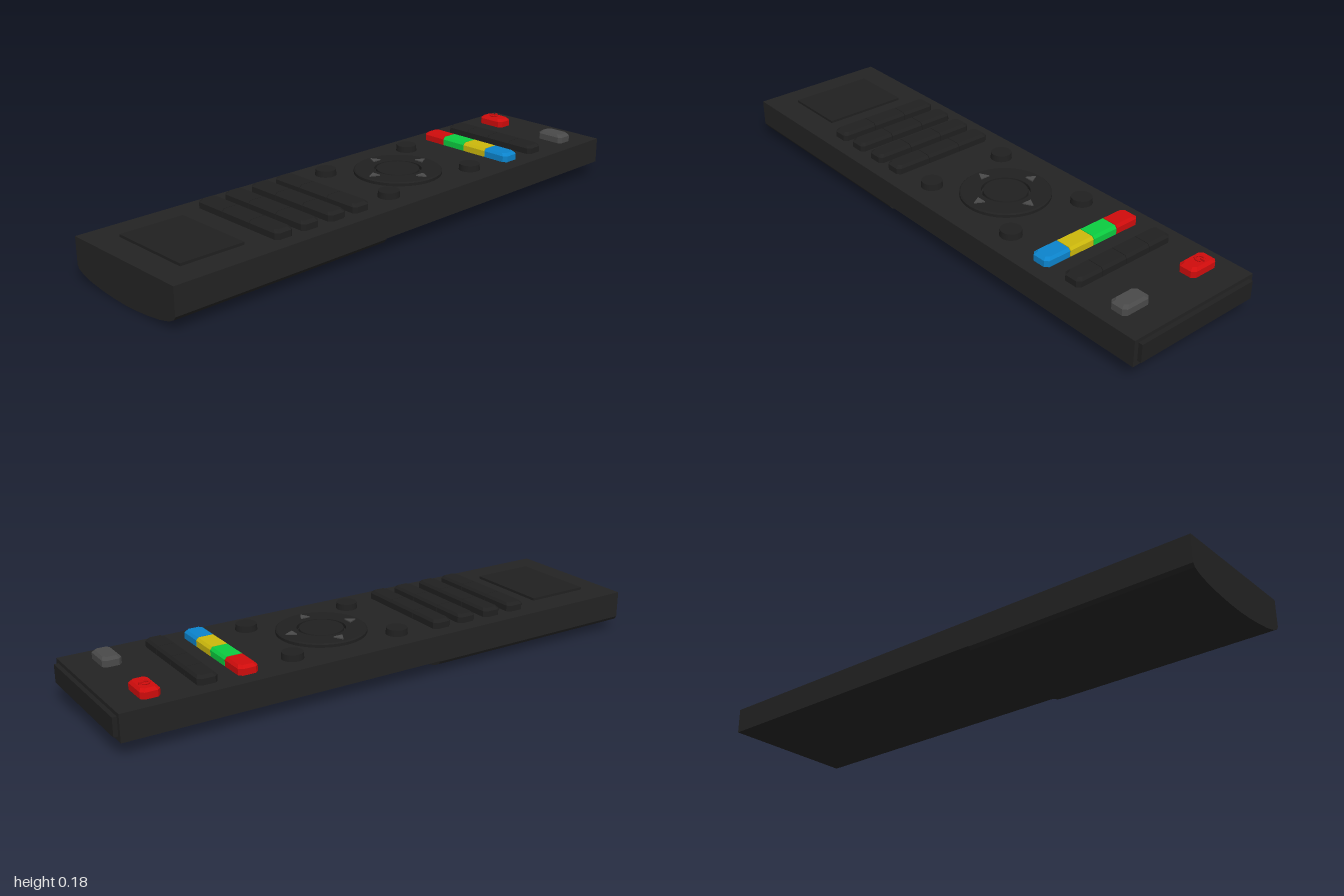
import * as THREE from 'three';

const mat = (name, color) => {
  const m = new THREE.MeshStandardMaterial({ color });
  m.name = name;
  return m;
};

const TOP = 0.145; // height of the keypad face

export function createModel() {
  const root = new THREE.Group();
  const body = mat('body black', 0x232323);
  const key = mat('key black', 0x202020);
  const grey = mat('grey', 0x4a4a4a);
  const red = mat('red', 0xd00c0c);
  const green = mat('green', 0x0ccc40);
  const yellow = mat('yellow', 0xccb80c);
  const blue = mat('blue', 0x0c84cc);

  const add = (name, geo, material, x = 0, y = 0, z = 0, parent = root) => {
    const m = new THREE.Mesh(geo, material);
    m.name = name;
    m.position.set(x, y, z);
    parent.add(m);
    return m;
  };

  // Main case: thin slab at the back, round-bellied grip at the front
  const zStep = 0.17;
  add('upperCase', new THREE.BoxGeometry(0.516, TOP - 0.052, zStep + 0.985), body,
    0, (TOP + 0.052) / 2, (zStep - 0.985) / 2);
  const half = [[0.258, 0.05], [0.25, 0.038], [0.225, 0.026], [0.18, 0.015], [0.12, 0.007], [0.06, 0.002]];
  const section = new THREE.Shape([
    [-0.258, TOP], ...half.map(([x, y]) => [-x, y]), [0, 0], ...half.slice().reverse(), [0.258, TOP],
  ].map(([x, y]) => new THREE.Vector2(x, y)));
  add('batteryGrip', new THREE.ExtrudeGeometry(section, { depth: 1 - zStep, bevelEnabled: false }), body, 0, 0, zStep);
  add('signalWindow', new THREE.BoxGeometry(0.484, 0.064, 0.03), key, 0, 0.1, -0.985);

  // Key with a sloped top edge; its outer ends are also chamfered
  const keyGeo = (x0, x1, depth, height, endL, endR) => {
    const d = depth / 2, c = 0.012, l = endL ? c : 0, r = endR ? c : 0;
    const pts = [[x0 + l, -d], [x1 - r, -d]];
    if (endR) pts.push([x1, -d + c], [x1, d - c]);
    pts.push([x1 - r, d], [x0 + l, d]);
    if (endL) pts.push([x0, d - c], [x0, -d + c]);
    const shape = new THREE.Shape(pts.map(([x, y]) => new THREE.Vector2(x, y)));
    const geo = new THREE.ExtrudeGeometry(shape, { depth: 1, steps: 2, bevelEnabled: false });
    geo.rotateX(-Math.PI / 2);
    const p = geo.attributes.position, mid = (x0 + x1) / 2;
    for (let i = 0; i < p.count; i++) {
      const level = p.getY(i);
      p.setY(i, level > 0.9 ? height : level > 0.4 ? height - 0.009 : 0);
      if (level > 0.9) {
        p.setZ(i, p.getZ(i) * (1 - 0.008 / d));
        const x = p.getX(i);
        if (x > mid && endR) p.setX(i, x - 0.011);
        if (x < mid && endL) p.setX(i, x + 0.011);
      }
    }
    geo.computeVertexNormals();
    return geo;
  };

  const keyRow = (name, z, colours, height) => {
    const row = new THREE.Group();
    row.name = name;
    root.add(row);
    const n = colours.length, w = 0.408 / n, gap = 0.0012;
    colours.forEach((c, i) => add(name + 'Key' + (i + 1),
      keyGeo(-0.204 + i * w + gap, -0.204 + (i + 1) * w - gap, 0.07, height, i === 0, i === n - 1),
      c, 0, TOP, z, row));
  };
  [0.222, 0.328, 0.44, 0.547].forEach((z, i) => keyRow('numberRow' + (i + 1), z, [key, key, key], 0.03));
  keyRow('functionRow', -0.67, [key, key, key, key], 0.03);
  keyRow('colourRow', -0.53, [red, green, yellow, blue], 0.031);

  // Separate keys at the far end
  add('powerKey', keyGeo(-0.055, 0.055, 0.066, 0.031, true, true), red, -0.15, TOP, -0.858);
  add('sourceKey', keyGeo(-0.055, 0.055, 0.066, 0.031, true, true), grey, 0.146, TOP, -0.858);

  // Raised power mark: open ring and bar
  const ring = new THREE.TorusGeometry(0.014, 0.0035, 6, 20, Math.PI * 1.6);
  ring.rotateZ(Math.PI * 0.7).rotateX(-Math.PI / 2);
  add('powerRing', ring, red, -0.157, 0.179, -0.858);
  add('powerBar', new THREE.BoxGeometry(0.005, 0.007, 0.016), red, -0.157, 0.1795, -0.87);

  // Round keys around the navigation pad
  for (const x of [-0.157, 0.157]) {
    for (const z of [-0.35, 0.058]) {
      add('roundKey', new THREE.CylinderGeometry(0.036, 0.038, 0.022, 32), key, x, TOP + 0.011, z);
    }
  }

  // Navigation pad: ring, centre key and four arrows
  const pad = new THREE.Group();
  pad.name = 'navigationPad';
  pad.position.set(0, TOP, -0.145);
  root.add(pad);
  const ringProfile = [[0.084, 0], [0.084, 0.014], [0.152, 0.014], [0.157, 0.01], [0.157, 0]];
  const padGeo = new THREE.LatheGeometry(
    ringProfile.map(([x, y]) => new THREE.Vector2(x, y)).reverse(), 48).toNonIndexed();
  padGeo.computeVertexNormals();
  add('padRing', padGeo, key, 0, 0, 0, pad);
  add('centreKey', new THREE.CylinderGeometry(0.076, 0.078, 0.014, 40), key, 0, 0.007, 0, pad);
  const tri = new THREE.Shape([[-0.018, -0.016], [0.018, -0.016], [0, 0.018]].map(([x, y]) => new THREE.Vector2(x, y)));
  const arrowGeo = new THREE.ExtrudeGeometry(tri, { depth: 0.004, bevelEnabled: false });
  arrowGeo.rotateX(-Math.PI / 2).translate(0, 0.014, -0.122);
  for (let i = 0; i < 4; i++) {
    add('arrow', arrowGeo, grey, 0, 0, 0, pad).rotation.y = i * Math.PI / 2;
  }

  // Blank raised plate near the grip end
  add('namePlate', new THREE.BoxGeometry(0.314, 0.009, 0.235), key, 0, TOP + 0.0045, 0.788);

  return root;
}
